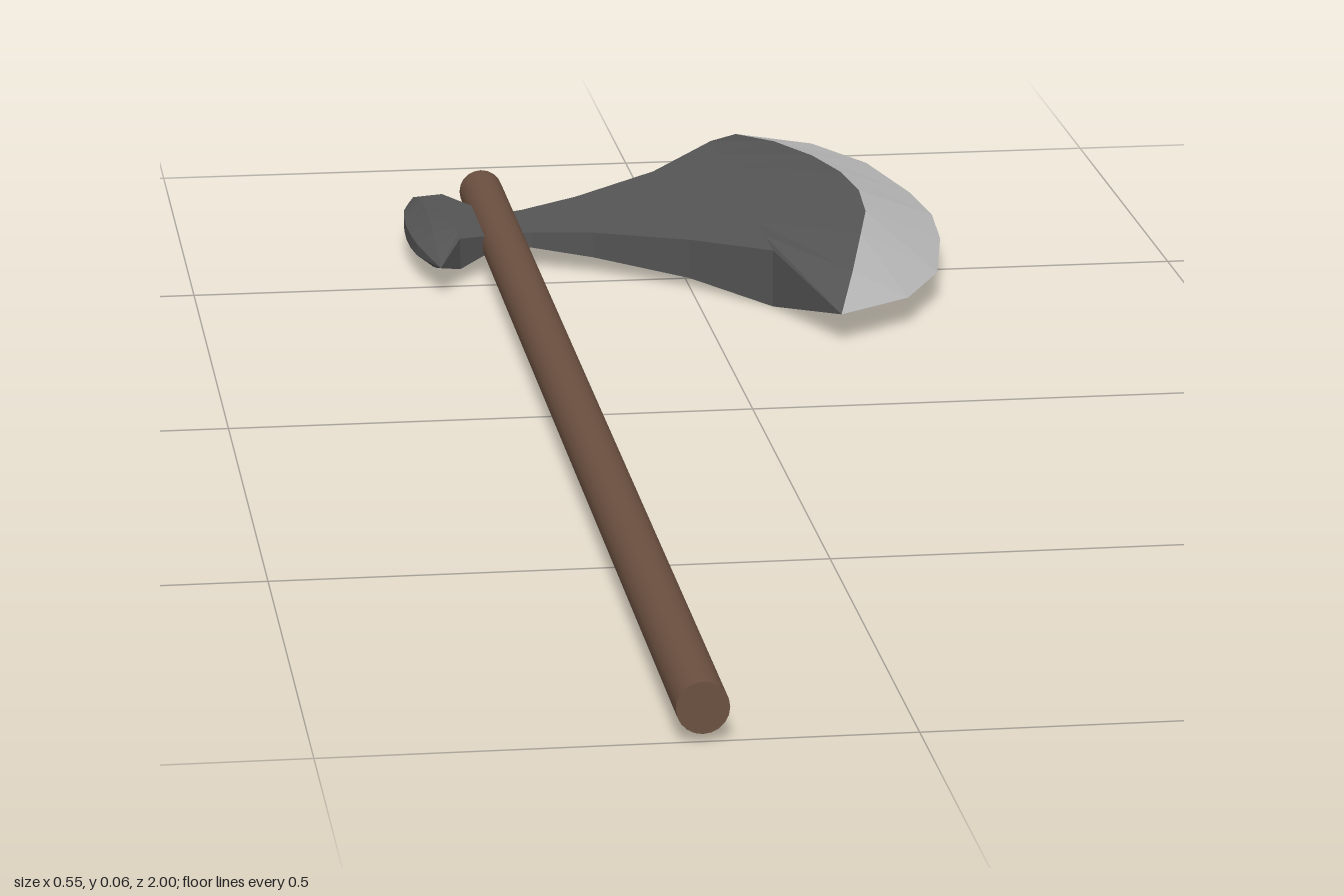
import * as THREE from 'three';

const CY = 0.03;    // mid height of the whole axe
const CZ = -0.613;  // centre of the head along the handle

const metal = new THREE.MeshStandardMaterial({ color: 0x555555, flatShading: true });
const steel = new THREE.MeshStandardMaterial({ color: 0xb4b4b4, flatShading: true });
const wood = new THREE.MeshStandardMaterial({ color: 0x6b5040 });

// Straight row across the head: nine points of equal thickness
const straight = (x, halfWidth, halfThick) =>
  Array.from({ length: 9 }, (_, j) => [x, halfWidth * (j - 4) / 4, halfThick]);

// Curved row: five points [x, z offset, half thickness] from tip to middle, mirrored
const curved = (half) => [
  ...half.map(([x, z, t]) => [x, -z, t]),
  ...half.slice(0, 4).reverse(),
];

// Skin through rows, each row making a closed ring of top and bottom points
function loft(name, rows, material, dir) {
  const positions = [];
  const rings = rows.map((row) => [
    ...row.map(([x, z, t]) => [x, CY + t, CZ + z]),
    ...[...row].reverse().map(([x, z, t]) => [x, CY - t, CZ + z]),
  ]);
  for (let i = 0; i < rings.length - 1; i++) {
    const n = rings[i].length;
    for (let j = 0; j < n; j++) {
      const k = (j + 1) % n;
      const [a, b, c, d] = [rings[i][j], rings[i][k], rings[i + 1][k], rings[i + 1][j]];
      const quad = dir > 0 ? [a, b, c, a, c, d] : [a, c, b, a, d, c];
      quad.forEach((p) => positions.push(...p));
    }
  }
  const geometry = new THREE.BufferGeometry();
  geometry.setAttribute('position', new THREE.Float32BufferAttribute(positions, 3));
  geometry.computeVertexNormals();
  const mesh = new THREE.Mesh(geometry, material);
  mesh.name = name;
  return mesh;
}

export function createModel() {
  const axe = new THREE.Group();
  axe.name = 'axe';

  // Handle
  const handle = new THREE.Mesh(new THREE.CylinderGeometry(0.0225, 0.0225, 1.78, 20), wood);
  handle.name = 'handle';
  handle.rotation.x = Math.PI / 2;
  handle.position.set(-0.18, CY, 0.11);
  axe.add(handle);

  // Main blade, flaring from the neck to the start of the bevel
  const bevelStart = curved([
    [0.12, 0.385, 0], [0.147, 0.28, 0.016], [0.172, 0.17, 0.026],
    [0.19, 0.085, 0.028], [0.196, 0, 0.029],
  ]);
  const bladeRows = [
    straight(-0.175, 0.043, 0.006),
    straight(-0.15, 0.048, 0.008),
    straight(-0.09, 0.077, 0.013),
    straight(0, 0.147, 0.02),
    straight(0.073, 0.237, 0.029),
    bevelStart,
  ];
  axe.add(loft('blade', bladeRows, metal, 1));

  // Sharpened cutting edge
  const edge = curved([
    [0.12, 0.385, 0], [0.195, 0.33, 0], [0.24, 0.235, 0],
    [0.265, 0.1, 0], [0.273, 0, 0],
  ]);
  axe.add(loft('cuttingEdge', [bevelStart, edge], steel, 1));

  // Small rear blade with a blunt, bowed back
  const back = [
    [-0.253, 0.15, 0], [-0.262, 0.11, 0.003], [-0.27, 0.07, 0.006],
    [-0.273, 0.035, 0.007], [-0.274, 0, 0.007],
  ];
  const rearRows = [
    straight(-0.18, 0.05, 0.009),
    straight(-0.2, 0.065, 0.01),
    straight(-0.228, 0.095, 0.016),
    curved([
      [-0.253, 0.15, 0], [-0.253, 0.11, 0.01], [-0.253, 0.07, 0.019],
      [-0.253, 0.035, 0.021], [-0.253, 0, 0.022],
    ]),
    curved(back),
    curved(back.map(([x, z]) => [x, z, 0])),
  ];
  axe.add(loft('rearBlade', rearRows, metal, -1));

  return axe;
}
